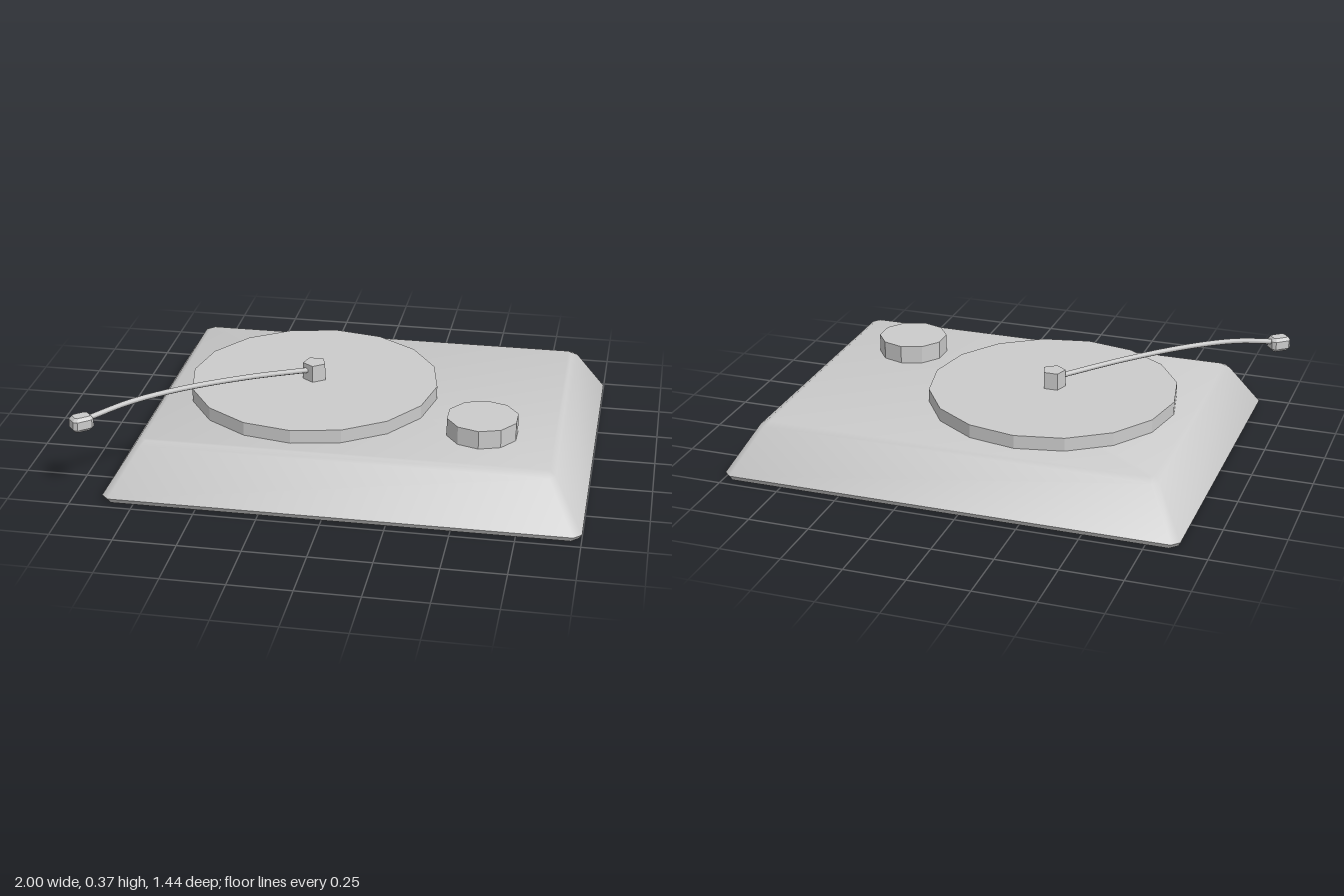
import * as THREE from 'three';
import { toCreasedNormals } from 'three/addons/utils/BufferGeometryUtils.js';

// Chamfered-rectangle loft; each ring is [y, halfX, halfZ, cornerCut]
function loftBox(rings, crease) {
  const pos = [], idx = [], n = 8;
  for (const [y, a, b, c] of rings) {
    const pts = [[a, b - c], [a - c, b], [c - a, b], [-a, b - c],
      [-a, c - b], [c - a, -b], [a - c, -b], [a, c - b]];
    for (const [x, z] of pts) pos.push(x, y, z);
  }
  const last = rings.length - 1;
  for (let i = 0; i < last; i++) {
    for (let j = 0; j < n; j++) {
      const a = i * n + j, b = i * n + (j + 1) % n;
      idx.push(a, a + n, b, b, a + n, b + n);
    }
  }
  // end caps
  for (let j = 1; j < n - 1; j++) {
    idx.push(0, j, j + 1);
    idx.push(last * n, last * n + j + 1, last * n + j);
  }
  const geo = new THREE.BufferGeometry();
  geo.setAttribute('position', new THREE.Float32BufferAttribute(pos, 3));
  geo.setIndex(idx);
  return toCreasedNormals(geo.toNonIndexed(), crease);
}

export function createModel() {
  const group = new THREE.Group();
  const smooth = new THREE.MeshStandardMaterial({ color: 0xcccccc });
  const flat = new THREE.MeshStandardMaterial({ color: 0xcccccc, flatShading: true });

  function add(name, geometry, material, x = 0, y = 0, z = 0) {
    const mesh = new THREE.Mesh(geometry, material);
    mesh.name = name;
    mesh.position.set(x, y, z);
    group.add(mesh);
    return mesh;
  }
  const disc = (name, r, y0, y1, sides, x, z) =>
    add(name, new THREE.CylinderGeometry(r, r, y1 - y0, sides), flat, x, (y0 + y1) / 2, z);

  // Sloping plinth with a bevelled foot and top rim
  add('base', loftBox([
    [0, 0.93, 0.71, 0.03],
    [0.02, 0.94, 0.72, 0.03],
    [0.205, 0.825, 0.61, 0.025],
    [0.22, 0.8, 0.582, 0.015],
  ], 0.85), smooth, 0.06);

  // Round parts on the deck
  disc('platter', 0.51, 0.2, 0.275, 16, -0.16, 0);
  disc('knob', 0.144, 0.2, 0.295, 10, 0.57, 0.29);
  disc('spindle', 0.049, 0.26, 0.346, 5, -0.16, 0);

  // Thin arched arm reaching past the front corner
  const path = new THREE.CatmullRomCurve3([
    new THREE.Vector3(-0.165, 0.313, 0.004),
    new THREE.Vector3(-0.4, 0.345, 0.197),
    new THREE.Vector3(-0.63, 0.36, 0.386),
    new THREE.Vector3(-0.8, 0.353, 0.526),
    new THREE.Vector3(-0.945, 0.323, 0.645),
  ]);
  add('arm', new THREE.TubeGeometry(path, 20, 0.012, 6), smooth);

  // Bevelled head at the arm's tip
  const head = add('head', loftBox([
    [-0.03, 0.032, 0.023, 0.008],
    [-0.017, 0.043, 0.034, 0.013],
    [0.017, 0.043, 0.034, 0.013],
    [0.03, 0.032, 0.023, 0.008],
  ], 0.5), smooth, -0.957, 0.315, 0.658);
  head.rotation.y = Math.atan2(0.645, 0.78);

  return group;
}
